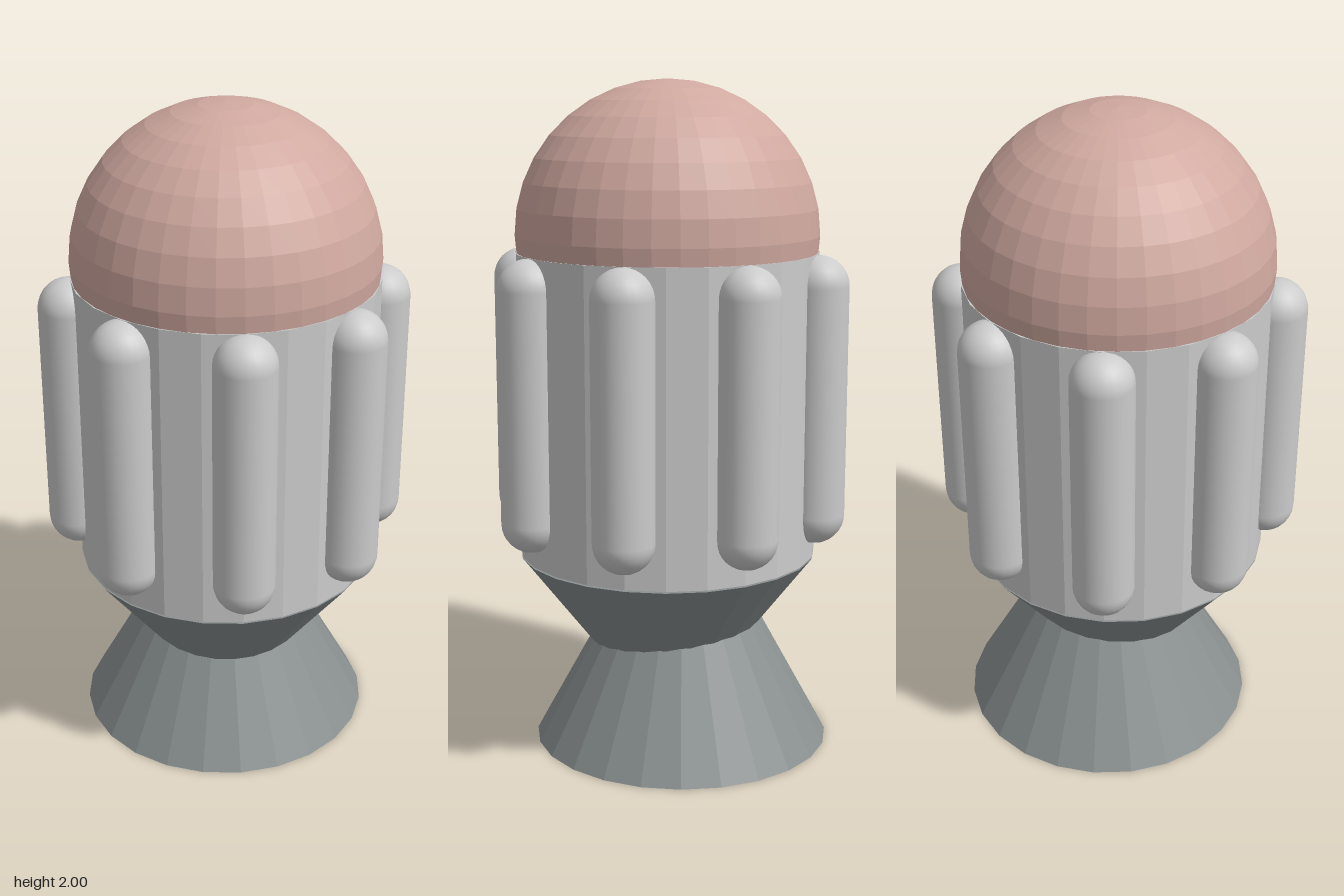
import * as THREE from 'three';

const SIDES = 24;

function material(color, flatShading) {
  return new THREE.MeshStandardMaterial({ color, flatShading });
}

function addMesh(parent, name, geometry, mat, x, y, z) {
  const mesh = new THREE.Mesh(geometry, mat);
  mesh.name = name;
  mesh.position.set(x, y, z);
  parent.add(mesh);
  return mesh;
}

export function createModel() {
  const model = new THREE.Group();
  model.name = 'capsuleRocket';
  const grey = material(0xcccccc, true);
  const smoothGrey = material(0xcccccc, false);
  const darkGrey = material(0x8a9090, true);
  const pink = material(0xd0a9a0, true);

  // Flared nozzle, set slightly back, and the inverted cone it meets
  addMesh(model, 'nozzle', new THREE.ConeGeometry(0.45, 0.82, SIDES), darkGrey, 0, 0.41, -0.045);
  const taper = addMesh(model, 'taperedBase', new THREE.ConeGeometry(0.45, 0.585, SIDES), darkGrey, 0, 0.2925, 0);
  taper.rotation.x = Math.PI;

  // Main drum and the dome seated in its top
  addMesh(model, 'body', new THREE.CylinderGeometry(0.45, 0.45, 0.91, SIDES), grey, 0, 1.045, 0);
  addMesh(model, 'dome', new THREE.SphereGeometry(0.45, 36, 18), pink, 0, 1.55, 0);

  // Eight round-ended tubes around the drum
  const tubes = new THREE.Group();
  tubes.name = 'sideTubes';
  model.add(tubes);
  const tubeGeometry = new THREE.CapsuleGeometry(0.09, 0.68, 8, 24);
  for (let i = 0; i < 8; i++) {
    const angle = (i * Math.PI) / 4;
    addMesh(tubes, `sideTube${i + 1}`, tubeGeometry, smoothGrey,
      0.455 * Math.sin(angle), 1.07, 0.455 * Math.cos(angle));
  }
  return model;
}
